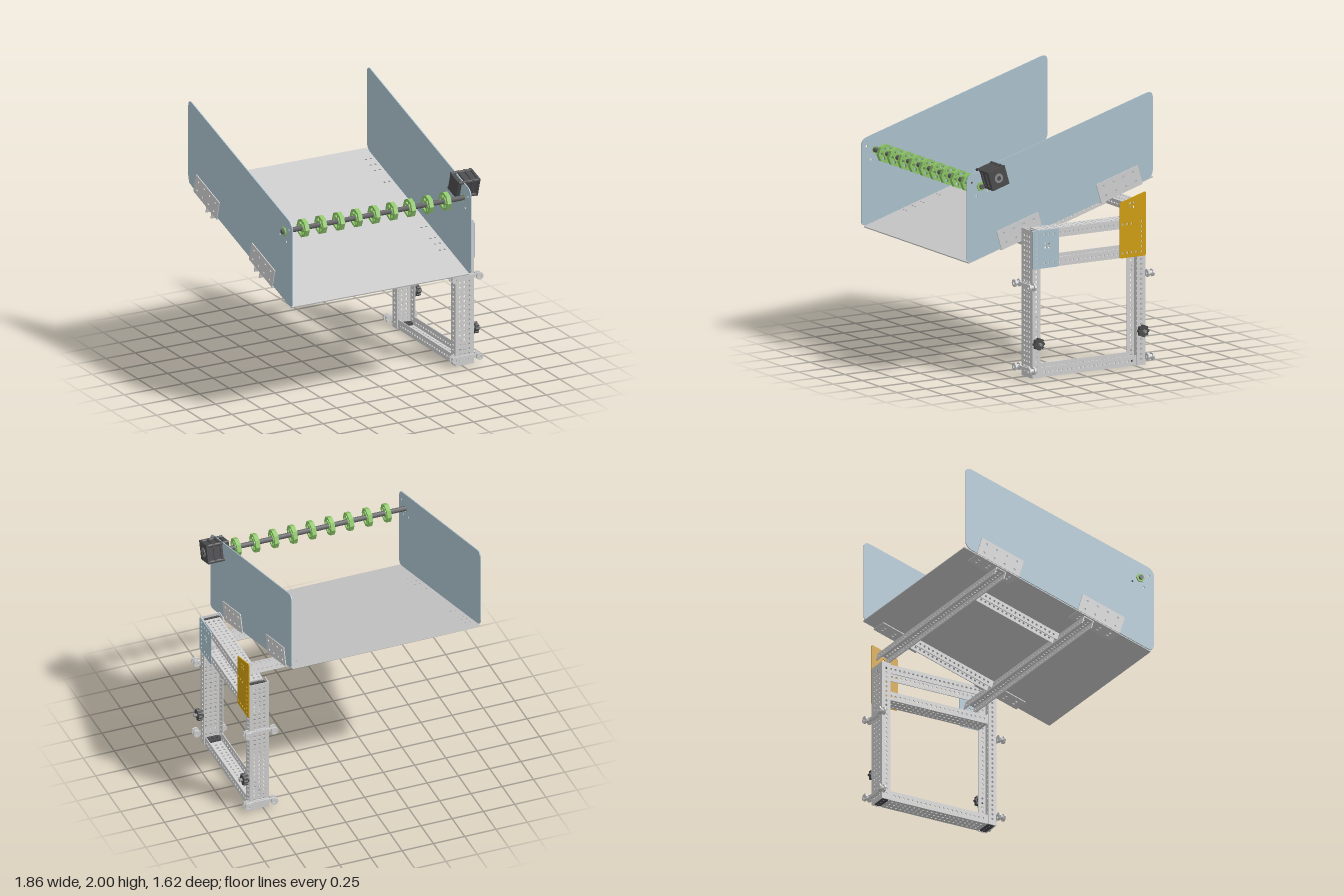
import * as THREE from 'three';

const mat = (name, color, extra = {}) => new THREE.MeshStandardMaterial({ name, color, ...extra });
const PITCH = 0.038, R = 0.0095;

export function createModel() {
  const root = new THREE.Group();
  root.name = 'feederRampOnStand';
  const steel = mat('light steel', 0xd2d2d2);
  const floorGrey = mat('floor grey', 0xcacaca);
  const blue = mat('pale blue sheet', 0xadc4d1, { side: THREE.DoubleSide });
  const gold = mat('gold sheet', 0xd2a010);
  const green = mat('wheel green', 0x8fc86a);
  const dark = mat('dark grey', 0x4c4c4e);
  const shaftGrey = mat('shaft grey', 0x626264);
  const midGrey = mat('mid grey', 0x8c8c8e);

  const add = (parent, geo, material, name, x = 0, y = 0, z = 0) => {
    const m = new THREE.Mesh(geo, material);
    m.name = name;
    m.position.set(x, y, z);
    parent.add(m);
    return m;
  };
  const box = (parent, material, name, w, h, d, x, y, z) =>
    add(parent, new THREE.BoxGeometry(w, h, d), material, name, x, y, z);
  // cylinder lying along x
  const rod = (parent, material, name, r, len, x, y, z, n = 20) => {
    const m = add(parent, new THREE.CylinderGeometry(r, r, len, n), material, name, x, y, z);
    m.rotation.z = Math.PI / 2;
    return m;
  };
  // polygon with rounded corners
  const roundedShape = (pts, r) => {
    const s = new THREE.Shape(), v = pts.map(p => new THREE.Vector2(...p));
    v.forEach((p, i) => {
      const a = v[(i + v.length - 1) % v.length], b = v[(i + 1) % v.length];
      const p0 = p.clone().add(a.clone().sub(p).setLength(r));
      const p1 = p.clone().add(b.clone().sub(p).setLength(r));
      i ? s.lineTo(p0.x, p0.y) : s.moveTo(p0.x, p0.y);
      s.quadraticCurveTo(p.x, p.y, p1.x, p1.y);
    });
    s.closePath();
    return s;
  };
  const rect = (w, h) => roundedShape([[-w / 2, -h / 2], [w / 2, -h / 2], [w / 2, h / 2], [-w / 2, h / 2]], 0.003);
  const sheet = (shape, holes, t, r = R) => {
    for (const [x, y, hr] of holes) shape.holes.push(new THREE.Path().absarc(x, y, hr || r, 0, Math.PI * 2, true));
    return new THREE.ExtrudeGeometry(shape, { depth: t, bevelEnabled: false, curveSegments: 4 });
  };
  const holeGrid = (cols, rows, px = PITCH, py = PITCH) => {
    const out = [];
    for (let i = 0; i < cols; i++) for (let j = 0; j < rows; j++)
      out.push([(i - (cols - 1) / 2) * px, (j - (rows - 1) / 2) * py]);
    return out;
  };
  // perforated U-channel: length along local y, web facing local +z
  const channel = (parent, name, len, width, depth, cols, pos, xDir, yDir) => {
    const g = new THREE.Group(), t = 0.007, rows = Math.floor((len - 0.02) / PITCH);
    g.name = name;
    add(g, sheet(rect(width, len), holeGrid(cols, rows), t), steel, 'web', 0, 0, -t);
    const flange = sheet(rect(depth, len), holeGrid(1, rows), t);
    for (const s of [-1, 1]) {
      const f = add(g, flange, steel, 'flange', s > 0 ? width / 2 - t : -width / 2, 0, -depth / 2);
      f.rotation.y = Math.PI / 2;
    }
    const x = new THREE.Vector3(...xDir), y = new THREE.Vector3(...yDir);
    g.setRotationFromMatrix(new THREE.Matrix4().makeBasis(x, y, x.clone().cross(y)));
    g.position.set(...pos);
    parent.add(g);
  };
  // upright sheet facing +x, drawn in (-z, y)
  const sideSheet = (parent, material, name, pts, r, holes, t, x) => {
    const m = add(parent, sheet(roundedShape(pts, r), holes, t), material, name, x);
    m.rotation.y = Math.PI / 2;
  };

  // ---- stand ----
  const stand = new THREE.Group();
  stand.name = 'stand';
  root.add(stand);
  const SX = 0.7775;
  channel(stand, 'frontPost', 1.12, 0.155, 0.07, 3, [SX, 0.56, 0.39], [1, 0, 0], [0, 1, 0]);
  channel(stand, 'rearPost', 1.12, 0.155, 0.07, 3, [SX, 0.56, -0.59], [-1, 0, 0], [0, 1, 0]);
  channel(stand, 'topBeam', 0.86, 0.125, 0.07, 3, [0.787, 1.12, -0.1], [1, 0, 0], [0, 0, -1]);
  channel(stand, 'middleBeam', 0.86, 0.125, 0.07, 3, [0.787, 0.83, -0.1], [1, 0, 0], [0, 0, 1]);
  channel(stand, 'bottomBeam', 0.84, 0.14, 0.075, 3, [SX, 0.001, -0.1], [1, 0, 0], [0, 0, 1]);

  // gusset plates
  sideSheet(stand, gold, 'rearGusset', [[0.365, 0.83], [0.59, 0.83], [0.59, 1.318], [0.365, 1.252]], 0.015,
    [...holeGrid(1, 7).map(([, y]) => [0.555, y + 0.98]), ...holeGrid(4, 1).map(([x]) => [x + 0.45, 0.868]),
      ...holeGrid(3, 1).map(([x]) => [x + 0.43, 1.085]), ...holeGrid(2, 2, 0.03, 0.03).map(([x, y]) => [x + 0.47, y + 1.225])],
    0.008, 0.856);
  sideSheet(stand, blue, 'frontGusset', [[-0.39, 0.83], [-0.165, 0.83], [-0.165, 1.12], [-0.39, 1.12]], 0.015,
    [...holeGrid(1, 7).map(([, y]) => [-0.352, y + 0.98]), ...holeGrid(3, 1).map(([x]) => [x - 0.25, 0.868]),
      ...holeGrid(3, 1).map(([x]) => [x - 0.25, 1.085]), ...holeGrid(2, 2, 0.03, 0.03).map(([x, y]) => [x - 0.265, y + 1.0])],
    0.007, 0.856);

  // inserts, clamps and knobs on both posts
  const ring = sheet(new THREE.Shape().absarc(0, 0, 0.03, 0, Math.PI * 2), [[0, 0, 0.012]], 0.014);
  for (const [zc, s] of [[0.353, 1], [-0.553, -1]]) {
    for (const y of [0.012, 1.09]) {
      const slot = roundedShape([[-0.068, -0.03], [0.068, -0.03], [0.068, 0.03], [-0.068, 0.03]], 0.025);
      const m = add(stand, sheet(slot, holeGrid(3, 1), 0.02), dark, 'postInsert', SX, y + 0.01, zc);
      m.rotation.x = Math.PI / 2;
    }
    for (const y of [0.065, 0.7]) {
      const clamp = new THREE.Group();
      clamp.name = 'clamp';
      clamp.position.set(SX, y, zc + s * 0.037);
      if (s < 0) clamp.rotation.y = Math.PI;
      box(clamp, steel, 'clampBar', 0.22, 0.024, 0.018, 0, 0, 0.012);
      box(clamp, steel, 'clampPad', 0.1, 0.036, 0.01, 0, 0, 0.006);
      for (const e of [-1, 1]) {
        add(clamp, ring, steel, 'clampCap', e * 0.104, 0, 0.037);
        add(clamp, ring, steel, 'clampBase', e * 0.104, 0, -0.004);
        const neck = add(clamp, new THREE.CylinderGeometry(0.017, 0.017, 0.04, 12), steel, 'clampNeck', e * 0.104, 0, 0.022);
        neck.rotation.x = Math.PI / 2;
      }
      stand.add(clamp);
    }
    rod(stand, dark, 'knobBase', 0.03, 0.02, 0.865, 0.265, zc);
    rod(stand, dark, 'knobBody', 0.038, 0.03, 0.885, 0.265, zc);
    rod(stand, midGrey, 'knobStud', 0.012, 0.03, 0.909, 0.265, zc, 12);
    for (let i = 0; i < 8; i++) {
      const a = i * Math.PI / 4;
      rod(stand, dark, 'knobLobe', 0.011, 0.03, 0.885, 0.265 + 0.036 * Math.cos(a), zc + 0.036 * Math.sin(a), 8);
    }
  }

  // ---- sloping tray ----
  const TILT = 0.2915, tray = new THREE.Group();
  tray.name = 'tray';
  tray.position.set(0, 1.12, -0.01);
  tray.rotation.x = TILT;
  root.add(tray);
  const floorHoles = [];
  for (const z of [-0.70, -0.625, -0.555, -0.4, 0.2, 0.345, 0.42, 0.5])
    for (const x of [-0.715, -0.675, 0.675, 0.715]) floorHoles.push([x, -z]);
  const floor = add(tray, sheet(rect(1.502, 1.67), floorHoles.map(([x, y]) => [x > 0 ? x - 0.0 : x, y]), 0.009),
    floorGrey, 'floor', -0.15, -0.009, 0);
  floor.rotation.x = -Math.PI / 2;

  // cross rails and the ties between them
  for (const [z, name] of [[-0.5, 'rearCrossRail'], [0.285, 'frontCrossRail']])
    channel(tray, name, 1.755, 0.088, 0.065, 2, [-0.0225, -0.018, z], [0, 0, 1], [1, 0, 0]);
  for (const x of [0.47, -0.5])
    channel(tray, 'tieRail', 0.69, 0.075, 0.058, 1, [x, -0.019, -0.1075], [1, 0, 0], [0, 0, -1]);

  // angle brackets outside and below the walls
  const bracketHoles = holeGrid(4, 2, 0.09, 0.075);
  for (const z of [0.361, -0.542]) for (const s of [-1, 1]) {
    const wall = add(tray, sheet(rect(0.375, 0.145), bracketHoles, 0.007), steel, 'bracketWall',
      s > 0 ? 0.61 : -0.917, 0.064, z);
    wall.rotation.y = Math.PI / 2;
    const foot = add(tray, sheet(rect(0.14, 0.375), holeGrid(2, 4, 0.04, 0.09), 0.007), steel, 'bracketFoot',
      s > 0 ? 0.545 : -0.845, -0.017, z);
    foot.rotation.x = -Math.PI / 2;
  }

  // side walls
  const wallPts = [[-0.81, 0.872], [0.805, 1.357], [0.805, 2.015], [-0.81, 1.54]];
  for (const x of [-0.909, 0.601])
    sideSheet(root, blue, 'sideWall', wallPts, 0.055,
      [[-0.69, 1.45, 0.03], [-0.765, 1.485], [-0.725, 1.38], [-0.625, 1.41]], 0.008, x);

  // ---- roller shaft with wheels ----
  const SY = 1.45, SZ = 0.69;
  rod(root, shaftGrey, 'rollerShaft', 0.019, 1.57, -0.148, SY, SZ, 6);
  for (const x of [-0.913, 0.613]) rod(root, green, 'shaftBearing', 0.036, 0.012, x, SY, SZ, 6);
  const tyre = sheet(new THREE.Shape().absarc(0, 0, 0.073, 0, Math.PI * 2), [[0, 0, 0.054]], 0.034);
  for (let i = 0; i < 9; i++) {
    const wheel = new THREE.Group();
    wheel.name = 'rollerWheel';
    wheel.position.set(-0.75 + 0.15 * i, SY, SZ);
    const t = add(wheel, tyre, green, 'tyre', -0.017);
    t.rotation.y = Math.PI / 2;
    rod(wheel, green, 'hub', 0.03, 0.03, 0, 0, 0);
    for (let k = 0; k < 3; k++)
      box(wheel, green, 'spoke', 0.02, 0.115, 0.016, 0, 0, 0).rotation.x = k * Math.PI / 3;
    root.add(wheel);
  }

  // ---- motor ----
  const motor = new THREE.Group();
  motor.name = 'motor';
  motor.position.set(0, 1.527, 0.612);
  motor.rotation.x = TILT;
  root.add(motor);
  box(motor, dark, 'motorBody', 0.115, 0.13, 0.13, 0.678, 0, 0);
  box(motor, dark, 'motorInnerPlate', 0.03, 0.14, 0.13, 0.575, 0, 0);
  for (const x of [0.625, 0.68, 0.732]) box(motor, dark, 'motorRib', 0.018, 0.15, 0.15, x, 0, 0);
  for (const y of [-1, 1]) for (const z of [-1, 1]) {
    rod(motor, dark, 'motorBolt', 0.013, 0.17, 0.647, y * 0.064, z * 0.064, 10);
  }
  rod(motor, midGrey, 'motorEndRing', 0.036, 0.004, 0.742, 0, 0);
  rod(motor, dark, 'motorEndBore', 0.018, 0.004, 0.744, 0, 0, 6);

  return root;
}
